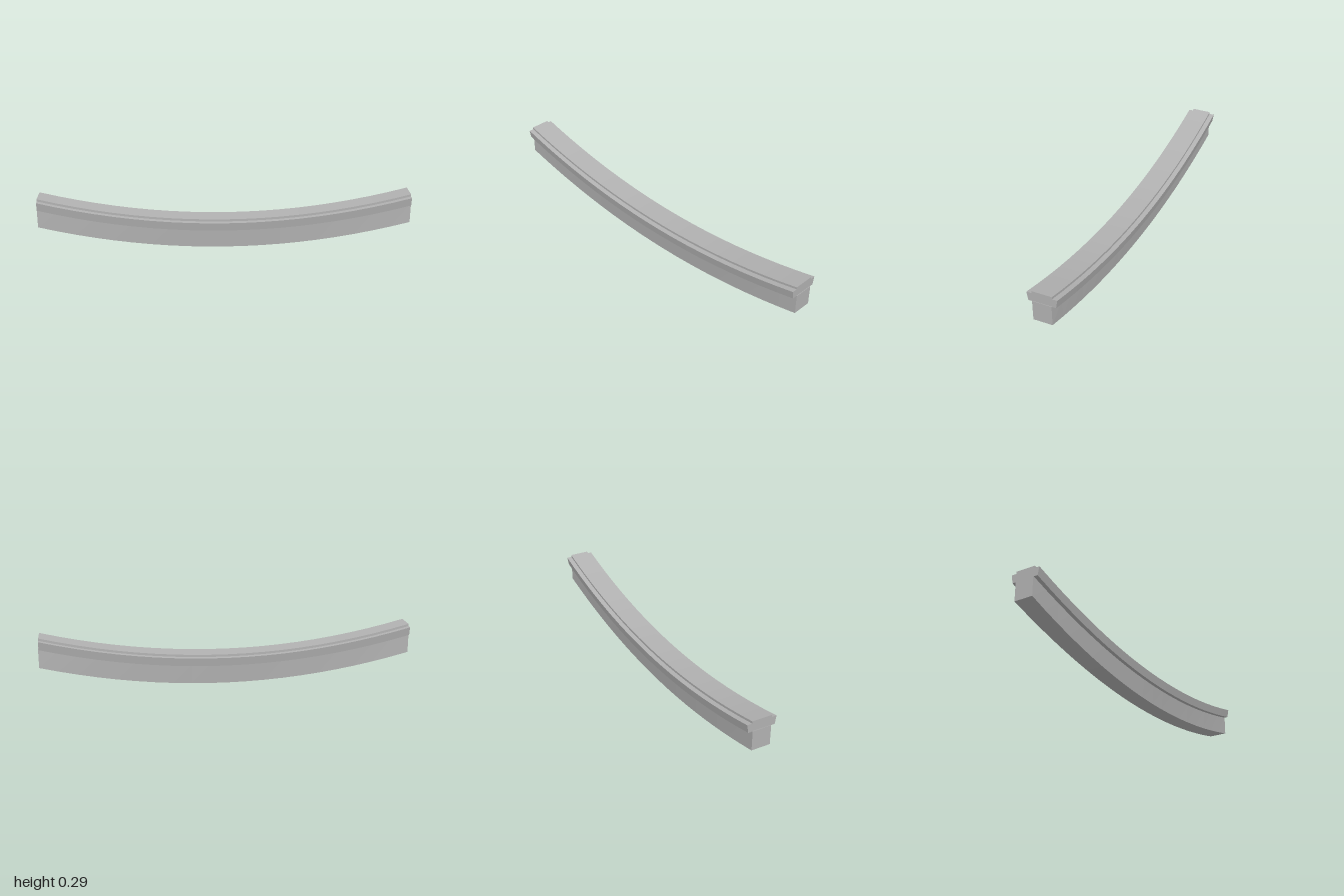
import * as THREE from 'three';

const SEGMENTS = 20;
const RISE = 0.131; // how far the ends lift above the middle

// Symmetric profile from [halfWidth, y] points listed bottom to top
function profile(points) {
  const right = points.map(([w, y]) => new THREE.Vector2(w, y));
  const left = points.map(([w, y]) => new THREE.Vector2(-w, y)).reverse();
  return new THREE.Shape([...right, ...left]);
}

// Extrude the profile along x, then bend it upward towards both ends
function curvedBar(name, points, halfLength, material, widthScale = () => 1) {
  const geometry = new THREE.ExtrudeGeometry(profile(points), {
    depth: halfLength * 2, steps: SEGMENTS, bevelEnabled: false,
  });
  geometry.translate(0, 0, -halfLength);
  geometry.rotateY(Math.PI / 2);
  const p = geometry.attributes.position;
  for (let i = 0; i < p.count; i++) {
    const x = p.getX(i), y = p.getY(i);
    p.setZ(i, p.getZ(i) * widthScale(x, y));
    p.setY(i, y + RISE * x * x);
  }
  geometry.computeVertexNormals();
  const mesh = new THREE.Mesh(geometry, material);
  mesh.name = name;
  return mesh;
}

export function createModel() {
  const group = new THREE.Group();
  group.name = 'curvedBeam';
  const grey = new THREE.MeshStandardMaterial({ color: 0xb2b2b2, flatShading: true });
  grey.name = 'light grey';

  // Lower web: tapered in the middle, squared off at the ends
  const web = [[0.045, 0], [0.053, 0.107]];
  group.add(curvedBar('web', web, 0.997, grey, (x, y) => {
    const endScale = 0.0505 / (y < 0.05 ? 0.045 : 0.053);
    return 1 + (endScale - 1) * x * x;
  }));

  // Upper cap: flared sides with a raised strip on top
  const cap = [[0.072, 0.105], [0.08, 0.15], [0.053, 0.15], [0.053, 0.162]];
  group.add(curvedBar('cap', cap, 0.993, grey));

  return group;
}
